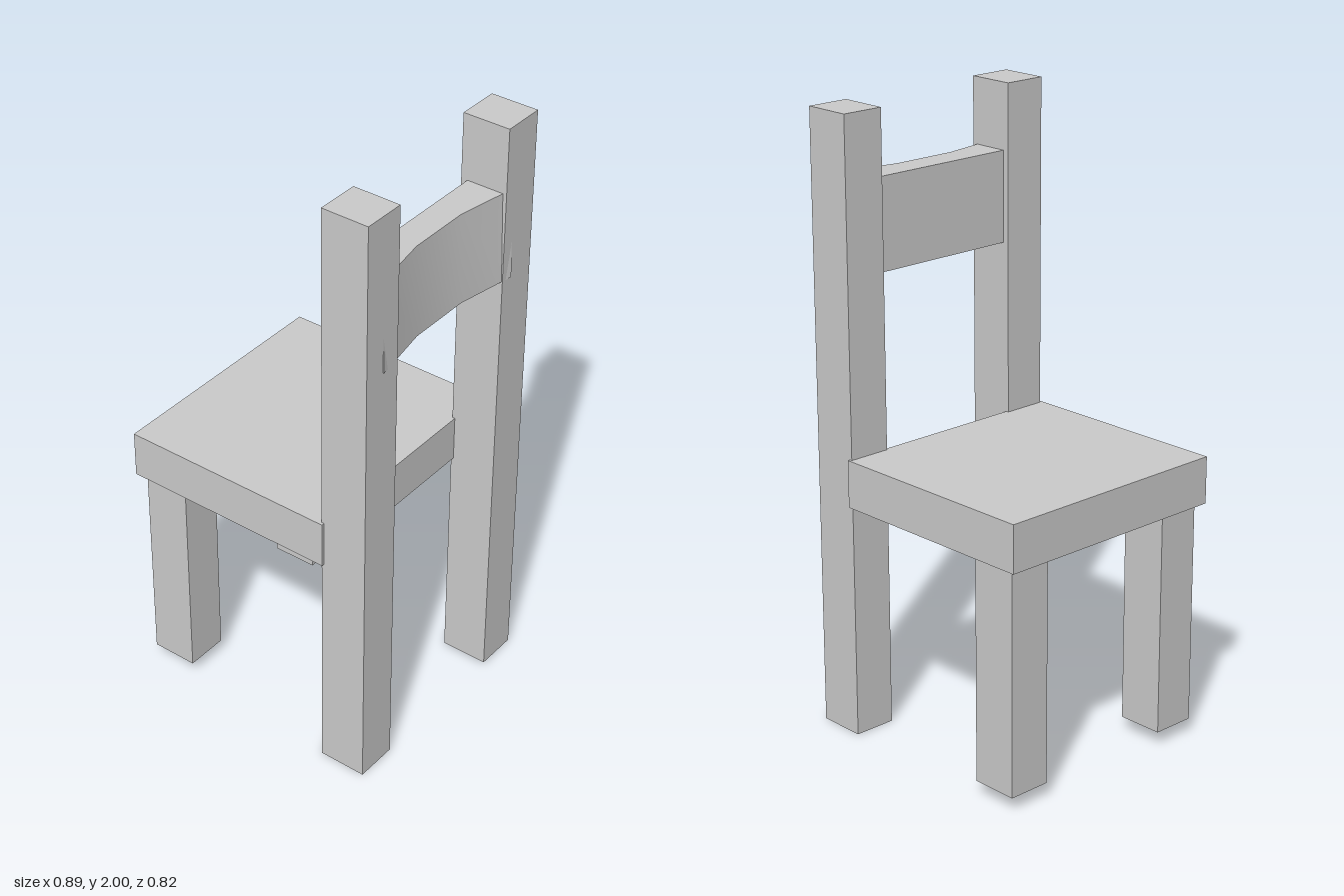
import * as THREE from 'three';
import { toCreasedNormals } from 'three/addons/utils/BufferGeometryUtils.js';

const material = new THREE.MeshStandardMaterial({ color: 0xcccccc });

// Box given by its extents along each axis
function block(name, [x0, x1], [y0, y1], [z0, z1]) {
  const mesh = new THREE.Mesh(new THREE.BoxGeometry(x1 - x0, y1 - y0, z1 - z0), material);
  mesh.position.set((x0 + x1) / 2, (y0 + y1) / 2, (z0 + z1) / 2);
  mesh.name = name;
  return mesh;
}

// Back slat: flat towards the seat, hollowed behind, slightly thicker at the bottom
function backSlat() {
  const bottom = 1.488, top = 1.785;
  const outline = [
    [0.30, -0.30], [0.431, -0.30], [0.395, -0.095],
    [0.395, 0.12], [0.431, 0.325], [0.30, 0.325],
  ];
  const shape = new THREE.Shape(outline.map(([x, z]) => new THREE.Vector2(x, -z)));
  const geometry = new THREE.ExtrudeGeometry(shape, { depth: top - bottom, bevelEnabled: false });
  geometry.rotateX(-Math.PI / 2);
  const p = geometry.attributes.position;
  for (let i = 0; i < p.count; i++) {
    if (p.getX(i) > 0.35 && p.getY(i) < 0.1) p.setX(i, p.getX(i) + 0.01);
  }
  geometry.translate(0, bottom, 0);
  const mesh = new THREE.Mesh(toCreasedNormals(geometry, 0.5), material);
  mesh.name = 'backSlat';
  return mesh;
}

export function createModel() {
  const group = new THREE.Group();
  group.name = 'chair';

  group.add(block('seat', [-0.445, 0.287], [0.773, 0.927], [-0.41, 0.41]));

  // Tall posts that form the back legs
  group.add(block('backPostA', [0.278, 0.437], [0, 2], [0.257, 0.40]));
  group.add(block('backPostB', [0.278, 0.437], [0, 2], [-0.402, -0.26]));

  // Shorter legs under the free edge of the seat
  group.add(block('frontLegA', [-0.435, -0.28], [0.048, 0.773], [0.226, 0.37]));
  group.add(block('frontLegB', [-0.435, -0.28], [0.048, 0.773], [-0.406, -0.262]));

  group.add(backSlat());
  return group;
}
